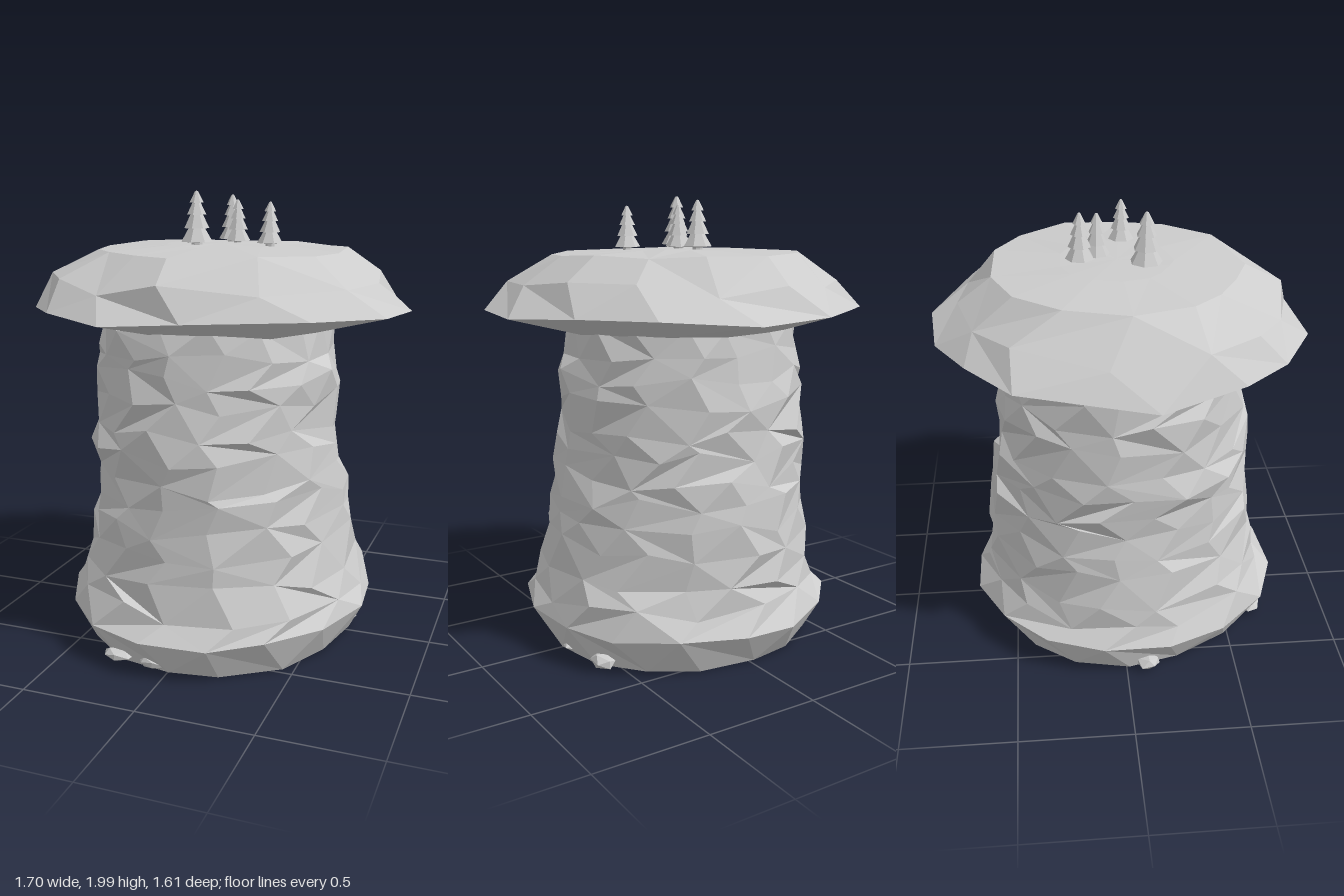
import * as THREE from 'three';
import { mergeVertices } from 'three/addons/utils/BufferGeometryUtils.js';

// small seeded generator, returns -1..1
function seeded(seed) {
  let s = seed;
  return () => {
    s = (s * 16807) % 2147483647;
    return (s / 2147483647) * 2 - 1;
  };
}

function faceted(geometry) {
  const g = geometry.index ? geometry.toNonIndexed() : geometry;
  g.computeVertexNormals();
  return g;
}

// Skin a stack of equal-length closed rings (bottom to top), capped by fans
function loft(rings, bottom, top) {
  const pos = [];
  const tri = (...pts) => pts.forEach((p) => pos.push(p[0], p[1], p[2]));
  const n = rings[0].length;
  for (let i = 0; i < n; i++) {
    const k = (i + 1) % n;
    for (let j = 0; j + 1 < rings.length; j++) {
      const a = rings[j][i], b = rings[j][k];
      const c = rings[j + 1][i], d = rings[j + 1][k];
      if ((i * 7 + j * 3) % 5 < 3) { tri(a, c, b); tri(b, c, d); }
      else { tri(a, c, d); tri(a, d, b); }
    }
    tri(bottom, rings[0][i], rings[0][k]);
    const last = rings[rings.length - 1];
    tri(top, last[k], last[i]);
  }
  const g = new THREE.BufferGeometry();
  g.setAttribute('position', new THREE.Float32BufferAttribute(pos, 3));
  return faceted(g);
}

// Craggy column: radius and centre follow a profile, with jagged ledges
function columnGeometry() {
  const rnd = seeded(4211);
  // y, left x, right x, back z, front z
  const profile = [
    [0.01, -0.6, 0.62, -0.59, 0.68], [0.18, -0.69, 0.71, -0.69, 0.765],
    [0.27, -0.64, 0.67, -0.64, 0.7], [0.38, -0.61, 0.64, -0.61, 0.665],
    [0.52, -0.6, 0.61, -0.6, 0.64], [0.61, -0.59, 0.59, -0.59, 0.62],
    [0.72, -0.57, 0.58, -0.58, 0.61], [0.8, -0.57, 0.56, -0.57, 0.6],
    [0.92, -0.58, 0.54, -0.56, 0.61], [1.02, -0.57, 0.53, -0.55, 0.59],
    [1.14, -0.56, 0.54, -0.54, 0.57], [1.24, -0.56, 0.54, -0.53, 0.56],
    [1.34, -0.55, 0.51, -0.51, 0.55], [1.46, -0.54, 0.5, -0.5, 0.53],
  ];
  const sides = 16;
  const rings = profile.map(([y, l, r, b, f], j) => {
    const edge = j < 2 ? 0.4 : 1;
    const ring = [];
    for (let i = 0; i < sides; i++) {
      const t = ((i + (j % 2) * 0.35 + rnd() * 0.2 * edge) / sides) * Math.PI * 2;
      const c = Math.cos(t), s = Math.sin(t);
      const bump = 1 + rnd() * 0.03 * edge;
      const lift = j === 0 ? Math.abs(rnd()) * 0.015 : rnd() * 0.036 * (j === 1 ? 0.35 : 1);
      ring.push([c * (c > 0 ? r : -l) * bump, y + lift, s * (s > 0 ? f : -b) * bump]);
    }
    return ring;
  });
  return loft(rings, [0, 0.01, 0.04], [0, 1.46, 0]);
}

// Overhanging cap: sharp irregular rim, sloping shoulders, nearly flat top
function capGeometry() {
  const rnd = seeded(977);
  // x, z, y around the rim
  const rim = [
    [0.85, -0.05, 1.5], [0.81, 0.3, 1.51], [0.59, 0.64, 1.53], [0.11, 0.77, 1.515],
    [-0.22, 0.8, 1.495], [-0.53, 0.64, 1.515], [-0.69, 0.45, 1.51], [-0.85, 0.1, 1.49],
    [-0.69, -0.45, 1.51], [-0.47, -0.64, 1.52], [-0.24, -0.77, 1.51],
    [0.13, -0.81, 1.495], [0.5, -0.65, 1.52], [0.72, -0.39, 1.52],
  ];
  // x, z around the edge of the flat top
  const top = [
    [0.55, 0.06], [0.5, 0.26], [0.32, 0.46], [-0.03, 0.55], [-0.2, 0.48],
    [-0.36, 0.39], [-0.47, 0.27], [-0.54, 0.02], [-0.48, -0.25], [-0.33, -0.44],
    [-0.1, -0.53], [0.2, -0.52], [0.4, -0.41], [0.53, -0.2],
  ];
  const n = rim.length;
  const under = rim.map(([x, z]) => [x * 0.6, 1.42 + rnd() * 0.006, z * 0.6]);
  const edge = rim.map(([x, z, y]) => [x, y, z]);
  const shoulder = rim.map(([x, z], i) => {
    const [x2, z2] = rim[(i + 1) % n];
    const k = 0.89 + rnd() * 0.04;
    return [(x * 0.65 + x2 * 0.35) * k, 1.625 + rnd() * 0.03, (z * 0.65 + z2 * 0.35) * k];
  });
  const brow = top.map(([x, z]) => [x, 1.752 + rnd() * 0.008, z]);
  const plateau = top.map(([x, z]) => [x * 0.45, 1.768 + rnd() * 0.003, z * 0.45]);
  return loft([under, edge, shoulder, brow, plateau], [0, 1.42, 0], [0, 1.772, 0]);
}

// Tiered seven-sided conifer of unit height and radius
function treeGeometry() {
  const profile = [
    [0, 0], [0.35, 0], [0.35, 0.08], [1, 0.1], [0.52, 0.34], [0.8, 0.34], [0.4, 0.58],
    [0.62, 0.58], [0.26, 0.79], [0.45, 0.79], [0.1, 0.99], [0, 1],
  ].map(([x, y]) => new THREE.Vector2(x, y));
  return new THREE.LatheGeometry(profile, 7);
}

// Squashed irregular pebble
function pebbleGeometry(seed) {
  const rnd = seeded(seed);
  const raw = new THREE.IcosahedronGeometry(1, 0);
  raw.deleteAttribute('uv');
  raw.deleteAttribute('normal');
  const g = mergeVertices(raw);
  const p = g.attributes.position;
  for (let i = 0; i < p.count; i++) {
    const k = 1 + rnd() * 0.2;
    p.setXYZ(i, p.getX(i) * k, p.getY(i) * k, p.getZ(i) * k);
  }
  return g;
}

export function createModel() {
  const model = new THREE.Group();
  model.name = 'rockPillar';
  const stone = new THREE.MeshStandardMaterial({ color: 0xcccccc });
  stone.name = 'pale stone';

  const add = (name, geometry) => {
    const mesh = new THREE.Mesh(geometry, stone);
    mesh.name = name;
    model.add(mesh);
  };

  add('rockColumn', columnGeometry());
  add('plateauCap', capGeometry());

  // Trees: x, z, radius, top height
  [
    [-0.07, 0.12, 0.07, 2.0],
    [0.0, -0.155, 0.063, 1.98],
    [0.05, -0.08, 0.056, 1.96],
    [0.24, 0.04, 0.058, 1.955],
  ].forEach(([x, z, r, top], i) => {
    const g = treeGeometry();
    g.scale(r, top - 1.76, r);
    g.rotateY(i * 0.5);
    g.translate(x, 1.76, z);
    add('tree' + (i + 1), faceted(g));
  });

  // Pebbles at the foot: x, z, half width, half height, half depth
  [
    [-0.24, 0.65, 0.075, 0.03, 0.05],
    [-0.06, 0.67, 0.08, 0.025, 0.03],
    [-0.6, 0.1, 0.06, 0.03, 0.06],
    [0.61, -0.07, 0.035, 0.02, 0.035],
    [0.565, -0.28, 0.05, 0.03, 0.075],
  ].forEach(([x, z, a, b, c], i) => {
    const g = pebbleGeometry(31 + i * 977);
    g.scale(a, b, c);
    g.translate(x, 0.045, z);
    add('pebble' + (i + 1), faceted(g));
  });

  return model;
}
